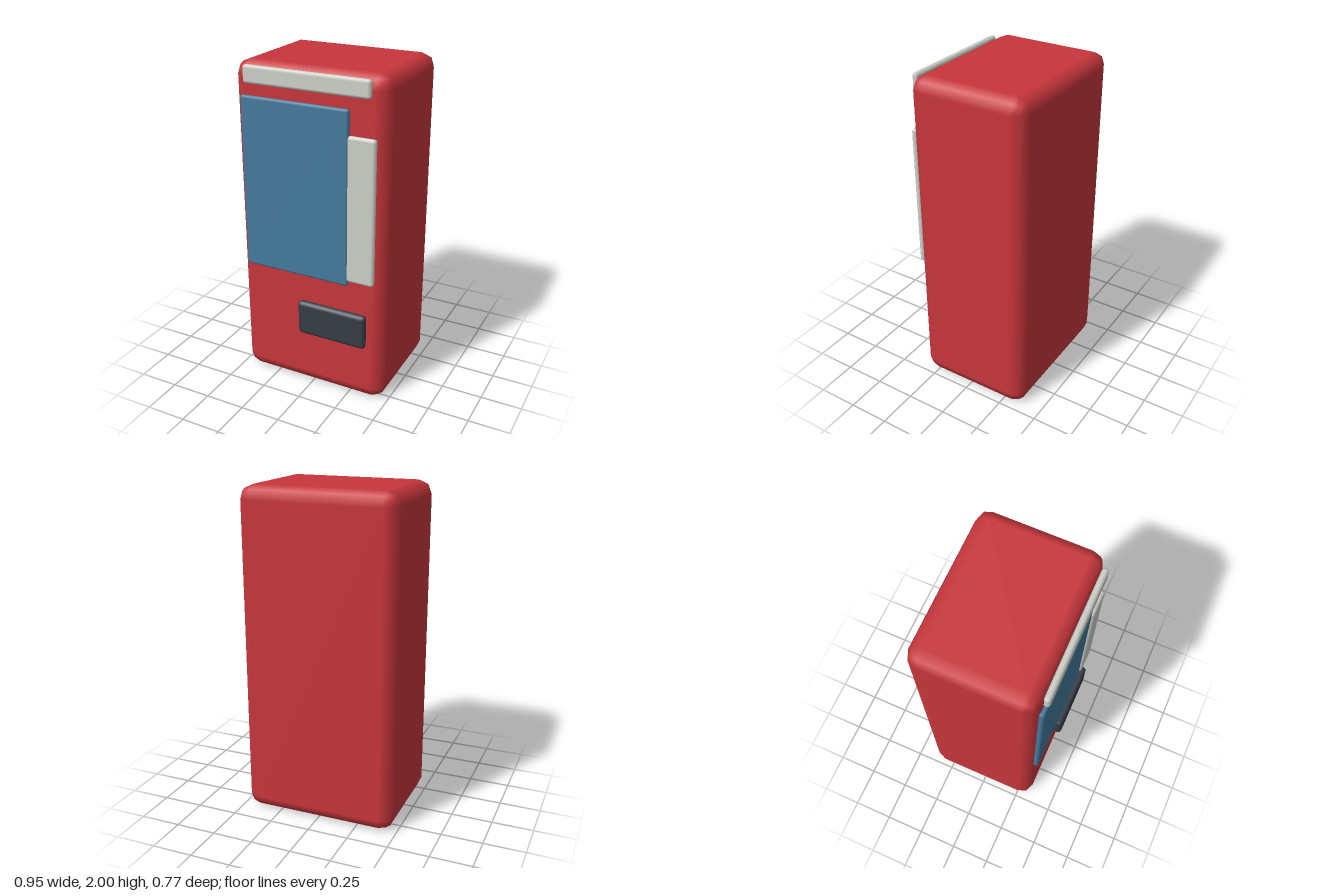
import * as THREE from 'three';
import { RoundedBoxGeometry } from 'three/addons/geometries/RoundedBoxGeometry.js';

const material = (name, color) => {
  const m = new THREE.MeshStandardMaterial({ color });
  m.name = name;
  return m;
};

// Rounded box given by its extents on each axis
function block(name, [x0, x1], [y0, y1], [z0, z1], radius, mat) {
  const geometry = new RoundedBoxGeometry(x1 - x0, y1 - y0, z1 - z0, 1, radius);
  const mesh = new THREE.Mesh(geometry, mat);
  mesh.name = name;
  mesh.position.set((x0 + x1) / 2, (y0 + y1) / 2, (z0 + z1) / 2);
  return mesh;
}

export function createModel() {
  const red = material('cabinet red', 0xc8363c);
  const blue = material('glass blue', 0x457b9d);
  const pale = material('panel pale grey', 0xced1c9);
  const dark = material('slot charcoal', 0x373c45);

  const group = new THREE.Group();
  group.name = 'vendingMachine';
  group.add(
    // Cabinet
    block('cabinet', [-0.475, 0.475], [0, 2], [-0.385, 0.335], 0.08, red),
    // Fittings on the front
    block('displayWindow', [-0.42, 0.257], [0.76, 1.81], [0.327, 0.36], 0.015, blue),
    block('controlPanel', [0.252, 0.423], [0.797, 1.67], [0.334, 0.372], 0.018, pale),
    block('headerSign', [-0.39, 0.388], [1.88, 1.986], [0.334, 0.372], 0.018, pale),
    block('pickupSlot', [-0.065, 0.38], [0.375, 0.594], [0.335, 0.384], 0.024, dark),
  );
  return group;
}
